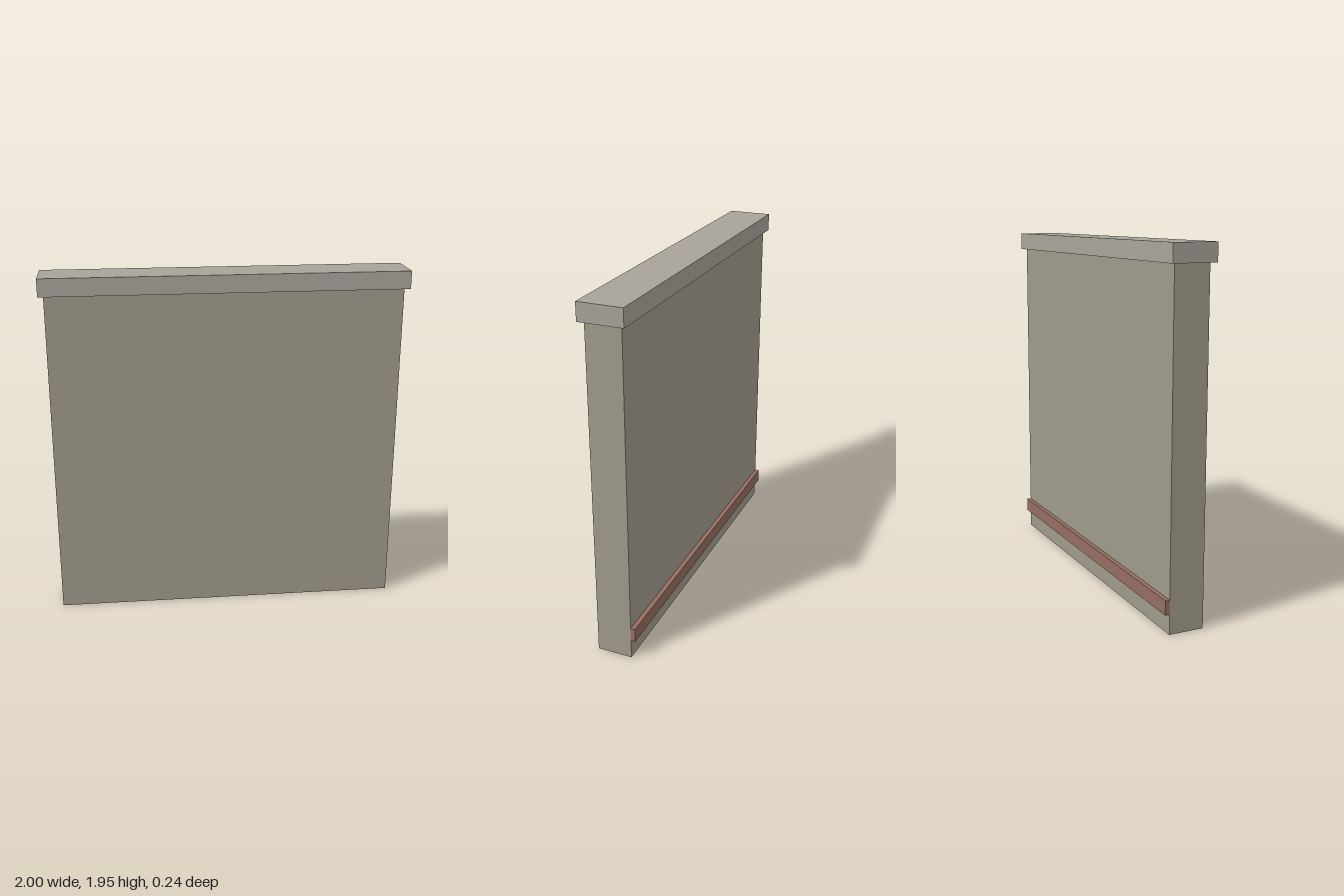
import * as THREE from 'three';

// Box given by its minimum and maximum on each axis
function block(name, [x0, x1], [y0, y1], [z0, z1], color) {
  const mesh = new THREE.Mesh(
    new THREE.BoxGeometry(x1 - x0, y1 - y0, z1 - z0),
    new THREE.MeshStandardMaterial({ color })
  );
  mesh.name = name;
  mesh.position.set((x0 + x1) / 2, (y0 + y1) / 2, (z0 + z1) / 2);
  return mesh;
}

export function createModel() {
  const model = new THREE.Group();
  model.name = 'wallSegment';

  const halfWidth = 0.972, halfDepth = 0.097, capDepth = 0.122;
  const capBottom = 1.85, top = 1.948;

  // Plain wall slab, tucked slightly into the coping
  model.add(block('wall', [-halfWidth, halfWidth], [0, capBottom + 0.01], [-halfDepth, halfDepth], 0xa09a8c));

  // Overhanging coping along the top
  model.add(block('coping', [-1, 1], [capBottom, top], [-capDepth, capDepth], 0xa8a49b));

  // Rail low on the back face
  model.add(block('backRail', [-halfWidth, halfWidth], [0.108, 0.186], [-capDepth, -halfDepth], 0x946e60));

  return model;
}
